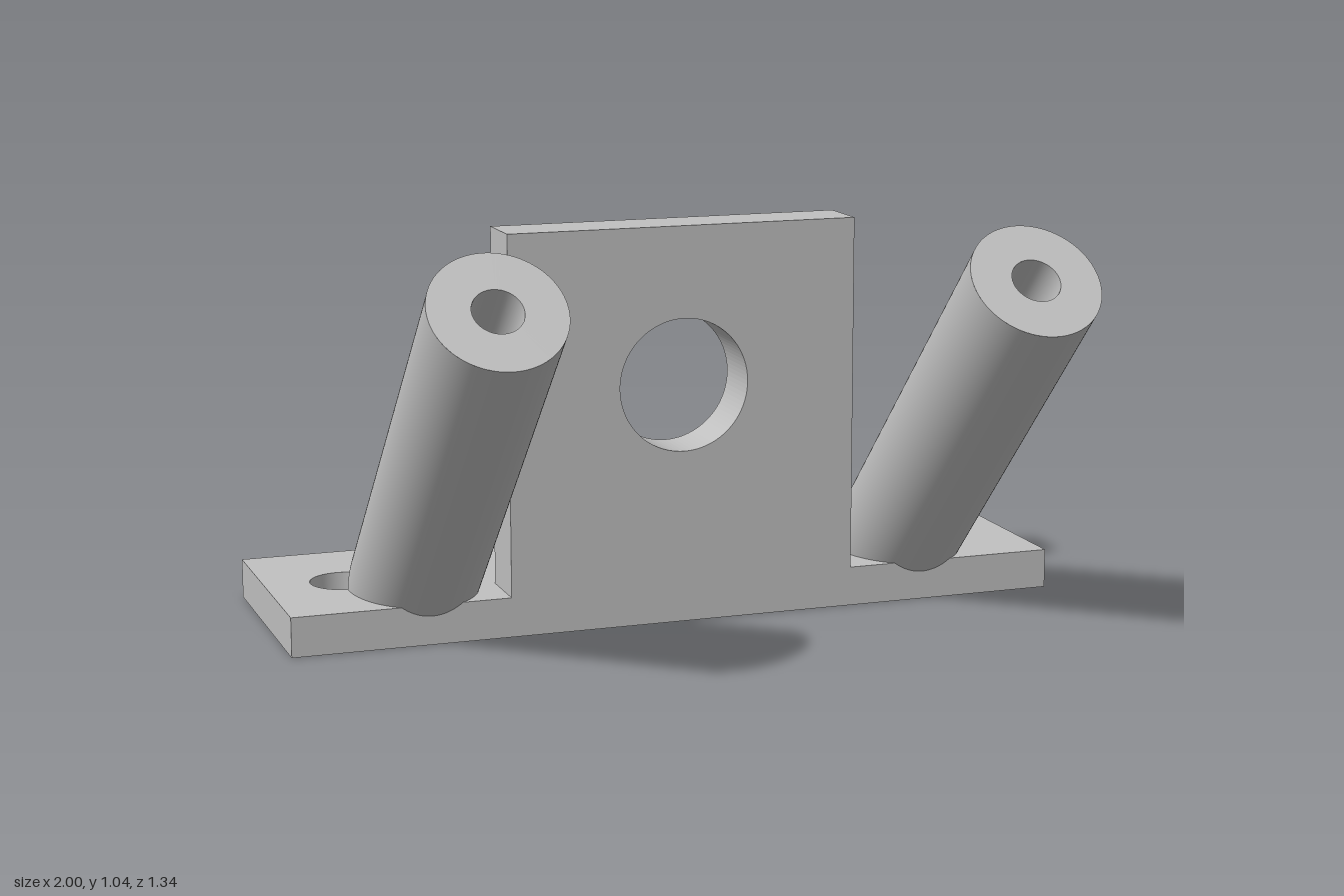
import * as THREE from 'three';
import { mergeGeometries } from 'three/addons/utils/BufferGeometryUtils.js';

const BASE = { w: 2, h: 0.1, back: -0.667, front: -0.067 };
const MID = -0.367;                                    // z of the bolt holes and tube feet
const TUBE = { x: 0.65, r: 0.161, bore: 0.06, len: 1.304 };
const BOLT = { x: 0.8, r: 0.086 };
const Q = Math.SQRT1_2, R2 = Math.SQRT2;

// Grid surface: f(u, v) gives [position, normal]; triangles are wound to match the normals
function surface(f, nu, nv) {
  const pos = [], nor = [], idx = [], P = [], N = [];
  for (let i = 0; i <= nu; i++) for (let j = 0; j <= nv; j++) {
    const [p, n] = f(i / nu, j / nv);
    P.push(p); N.push(n);
    pos.push(p.x, p.y, p.z); nor.push(n.x, n.y, n.z);
  }
  const tri = (a, b, c) => {
    const g = P[b].clone().sub(P[a]).cross(P[c].clone().sub(P[a]));
    if (g.length() < 1e-9) return;
    if (g.dot(N[a]) + g.dot(N[b]) + g.dot(N[c]) > 0) idx.push(a, b, c);
    else idx.push(a, c, b);
  };
  for (let i = 0; i < nu; i++) for (let j = 0; j < nv; j++) {
    const a = i * (nv + 1) + j, b = a + nv + 1;
    tri(a, b, b + 1); tri(a, b + 1, a + 1);
  }
  const geo = new THREE.BufferGeometry();
  geo.setAttribute('position', new THREE.Float32BufferAttribute(pos, 3));
  geo.setAttribute('normal', new THREE.Float32BufferAttribute(nor, 3));
  geo.setIndex(idx);
  return geo;
}

// Point on the 45 degree tube: dx sideways, n across, s along the axis
const tubePoint = (side, dx, n, s) =>
  new THREE.Vector3(side * (TUBE.x + dx), (s + n) * Q, MID + (s - n) * Q);
const tubeNormal = (side, a, k = 1) =>
  new THREE.Vector3(side * Math.cos(a) * k, Math.sin(a) * Q * k, -Math.sin(a) * Q * k);

// Where the outer wall starts, and where the bolt hole cuts it
function wallLimits(a) {
  const dx = TUBE.r * Math.cos(a), n = TUBE.r * Math.sin(a);
  const start = Math.max(0, Math.min(BASE.h * R2 - n, (BASE.front - MID) * R2 + n));
  const d = Math.sqrt(Math.max(0, BOLT.r ** 2 - (TUBE.x + dx - BOLT.x) ** 2));
  return { dx, n, start, cutA: Math.max(start, n - d * R2), cutB: Math.max(start, n + d * R2) };
}

// Flat plate face with bolt holes and slanted bore openings
function baseFace(y, up) {
  const k = up ? -1 : 1, w = BASE.w / 2;
  const shape = new THREE.Shape([[-w, BASE.back], [w, BASE.back], [w, BASE.front], [-w, BASE.front]]
    .map(([x, z]) => new THREE.Vector2(x, k * z)));
  for (const side of [-1, 1]) {
    shape.holes.push(new THREE.Path().absarc(side * BOLT.x, k * MID, BOLT.r, 0, Math.PI * 2, true));
    shape.holes.push(new THREE.Path().absellipse(side * TUBE.x, k * (MID + y),
      TUBE.bore, TUBE.bore * R2, 0, Math.PI * 2, true));
  }
  return new THREE.ShapeGeometry(shape, 48).rotateX(k * Math.PI / 2).translate(0, y, 0);
}

export function createModel() {
  const model = new THREE.Group();
  const grey = new THREE.MeshStandardMaterial({ color: 0xc0c0c0 });
  grey.name = 'grey';
  const add = (parent, name, geo) => {
    const mesh = new THREE.Mesh(geo, grey);
    mesh.name = name;
    parent.add(mesh);
  };

  // Base plate: pierced top and bottom plus four sides
  const depth = BASE.front - BASE.back;
  const faces = [baseFace(0, false), baseFace(BASE.h, true)];
  for (let i = 0; i < 4; i++) {
    const [w, d] = i % 2 ? [depth, BASE.w] : [BASE.w, depth];
    faces.push(new THREE.PlaneGeometry(w, BASE.h).translate(0, BASE.h / 2, d / 2)
      .rotateY(i * Math.PI / 2).translate(0, 0, MID));
  }
  add(model, 'basePlate', mergeGeometries(faces));

  // Upright plate with a round hole, flush with the front of the base
  const plate = new THREE.Shape([[-0.45, BASE.h], [0.45, BASE.h], [0.45, 1], [-0.45, 1]]
    .map(([x, y]) => new THREE.Vector2(x, y)));
  plate.holes.push(new THREE.Path().absarc(0, 0.603, 0.167, 0, Math.PI * 2, true));
  const upright = new THREE.ExtrudeGeometry(plate, { depth: 0.148, bevelEnabled: false, curveSegments: 48 });
  add(model, 'uprightPlate', upright.translate(0, 0, BASE.front - 0.148));

  for (const side of [1, -1]) {
    const tube = new THREE.Group();
    tube.name = side > 0 ? 'leftTube' : 'rightTube';
    model.add(tube);

    // Outer wall above and behind the bolt hole cut
    const wall = (from, to) => surface((u, v) => {
      const a = u * Math.PI * 2, w = wallLimits(a);
      const s = THREE.MathUtils.lerp(from(w), to(w), v);
      return [tubePoint(side, w.dx, w.n, s), tubeNormal(side, a)];
    }, 180, 1);
    add(tube, 'outerWall', wall(w => w.cutB, () => TUBE.len));
    add(tube, 'heelWall', wall(w => w.start, w => w.cutA));

    // Bore running through to the underside of the base
    add(tube, 'bore', surface((u, v) => {
      const a = u * Math.PI * 2, n = TUBE.bore * Math.sin(a);
      return [tubePoint(side, TUBE.bore * Math.cos(a), n, THREE.MathUtils.lerp(-n, TUBE.len, v)),
        tubeNormal(side, a, -1)];
    }, 64, 1));

    // Upper rim
    add(tube, 'rim', surface((u, v) => {
      const a = u * Math.PI * 2, r = THREE.MathUtils.lerp(TUBE.bore, TUBE.r, v);
      return [tubePoint(side, r * Math.cos(a), r * Math.sin(a), TUBE.len), new THREE.Vector3(0, Q, Q)];
    }, 90, 1));

    // Sliver of the lower end that shows above the base
    const low = BASE.h * R2, a0 = Math.asin(low / TUBE.r);
    add(tube, 'heelEnd', surface((u, v) => {
      const a = THREE.MathUtils.lerp(a0, Math.PI - a0, u);
      const n = THREE.MathUtils.lerp(low, TUBE.r * Math.sin(a), v);
      return [tubePoint(side, TUBE.r * Math.cos(a), n, 0), new THREE.Vector3(0, -Q, -Q)];
    }, 24, 1));

    // Bolt hole wall, rising into the tube where it notches it
    add(model, side > 0 ? 'leftBoltHole' : 'rightBoltHole', surface((u, v) => {
      const a = u * Math.PI * 2, c = Math.cos(a), z = BOLT.r * Math.sin(a);
      const x = BOLT.x + BOLT.r * c;
      const m = Math.sqrt(Math.max(0, TUBE.r ** 2 - (x - TUBE.x) ** 2));
      const top = x < TUBE.x + TUBE.r ? Math.max(BASE.h, z + R2 * m) : BASE.h;
      return [new THREE.Vector3(side * x, top * v, MID + z), new THREE.Vector3(-side * c, 0, -Math.sin(a))];
    }, 96, 1));
  }
  return model;
}
